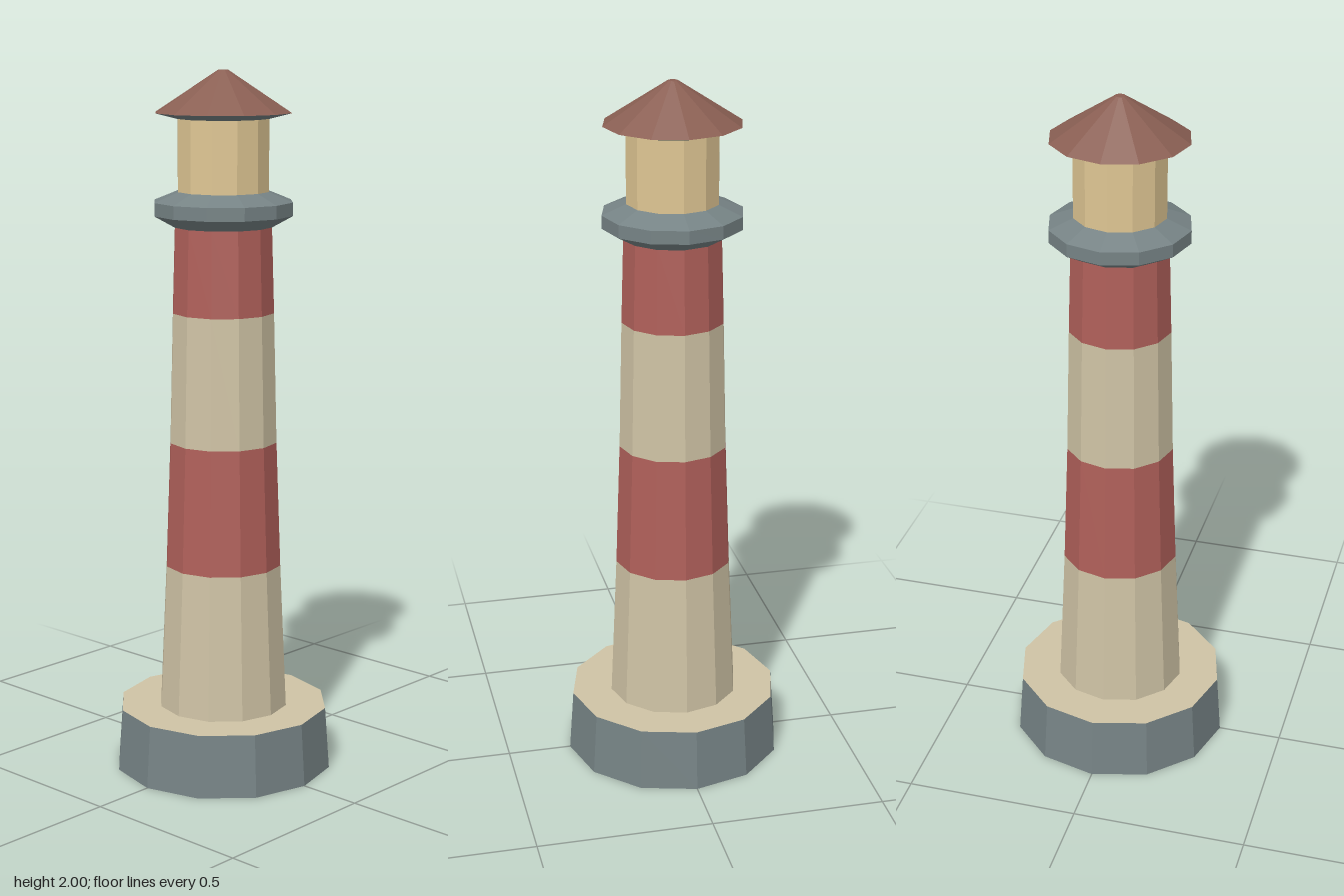
import * as THREE from 'three';

const SIDES = 12;

function material(name, color) {
  const m = new THREE.MeshStandardMaterial({ color, side: THREE.DoubleSide, flatShading: true });
  m.name = name;
  return m;
}

// One faceted ring of the tower, turned from [radius, height] points listed bottom to top.
function ring(name, mat, profile) {
  const points = profile.map(([r, y]) => new THREE.Vector2(r, y));
  const geometry = new THREE.LatheGeometry(points, SIDES).toNonIndexed();
  geometry.computeVertexNormals();
  const mesh = new THREE.Mesh(geometry, mat);
  mesh.name = name;
  return mesh;
}

export function createModel() {
  const cream = material('cream', 0xcfc3a5);
  const red = material('red', 0xb0605a);
  const slate = material('slate', 0x768385);
  const sand = material('lantern sand', 0xdfc693);
  const brown = material('roof brown', 0x8a5f53);

  const group = new THREE.Group();
  group.name = 'lighthouse';

  group.add(
    // Hollow plinth, open underneath, with a ring-shaped deck
    ring('plinthWall', slate, [[0.316, 0], [0.303, 0.18]]),
    ring('plinthDeck', cream, [[0.303, 0.18], [0.187, 0.18]]),
  );

  // Tapering striped tower
  const levels = [[0.187, 0.18], [0.168, 0.6], [0.155, 0.96], [0.146, 1.33], [0.139, 1.57]];
  for (let i = 0; i < levels.length - 1; i++) {
    group.add(ring(`towerBand${i + 1}`, i % 2 ? red : cream, [levels[i], levels[i + 1]]));
  }

  group.add(
    // Gallery collar, lantern room and roof
    ring('gallery', slate, [[0.139, 1.57], [0.198, 1.603], [0.198, 1.64], [0.13, 1.668]]),
    ring('lanternRoom', sand, [[0.13, 1.668], [0.13, 1.868]]),
    ring('roofUnderside', slate, [[0.13, 1.868], [0.193, 1.884]]),
    ring('roof', brown, [[0.193, 1.884], [0.014, 2], [0, 2]]),
  );
  return group;
}
